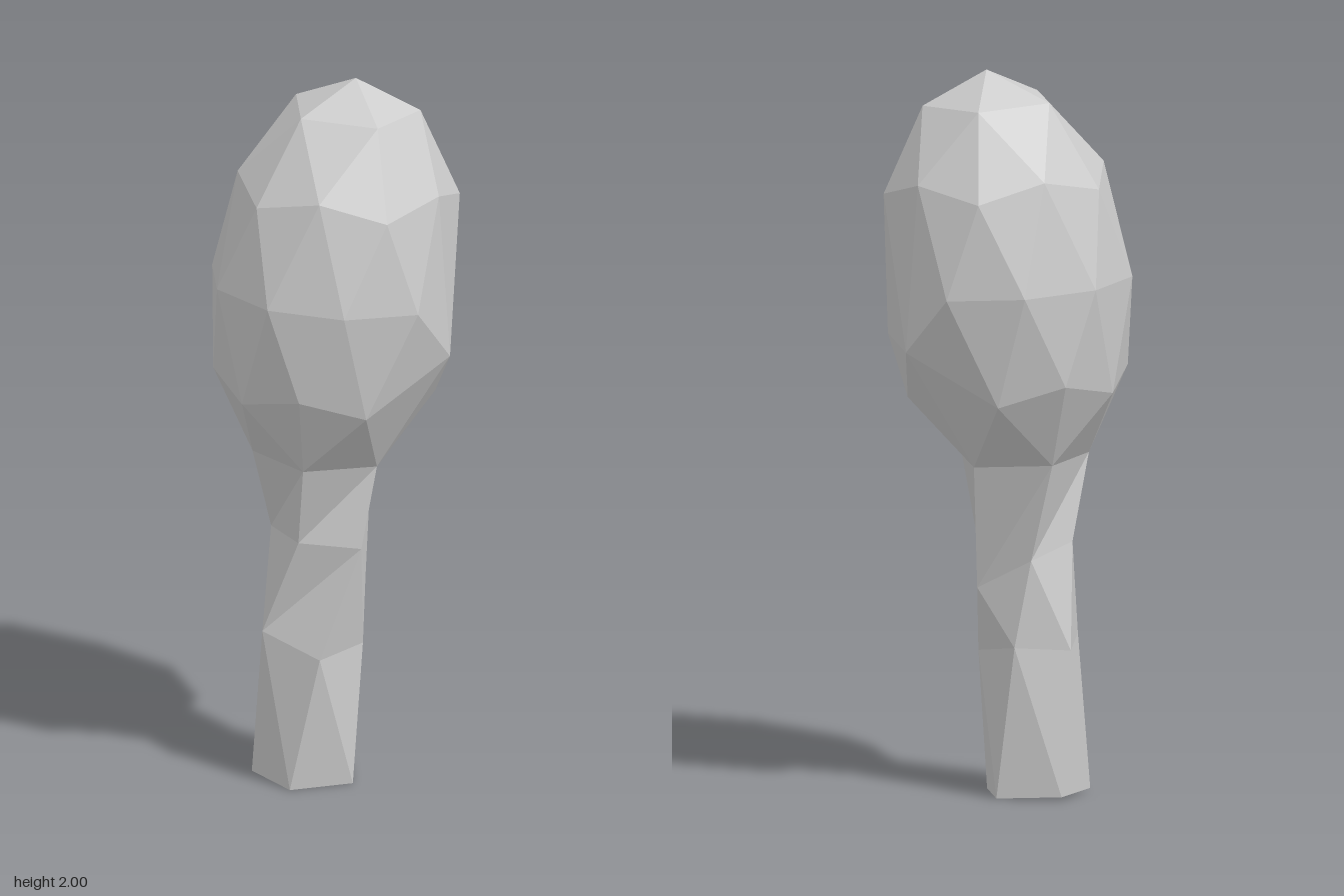
import * as THREE from 'three';
import { ConvexGeometry } from 'three/addons/geometries/ConvexGeometry.js';

const grey = new THREE.MeshStandardMaterial({ color: 0xcccccc, flatShading: true });
grey.name = 'plain grey';

// Unit-sphere rings of a twice-divided icosahedron: [height, radius, angles in degrees]
const UPPER = [0, 72, 144, 216, 288];
const LOWER = [36, 108, 180, 252, 324];
const RINGS = [
  [1, 0, [0]],
  [0.851, 0.526, UPPER],
  [0.526, 0.851, LOWER],
  [0.447, 0.894, UPPER],
  [0, 1, [54, 90, 126, 162, 198, 234, 270, 306]],
  [-0.447, 0.894, [108, 180, 252]],
  [-0.526, 0.851, UPPER],
  [-0.851, 0.526, LOWER],
];

// Stretch the sphere and lean it slightly toward +x
function crownPoint(height, radius, degrees) {
  const a = THREE.MathUtils.degToRad(degrees);
  const x = 0.35 * radius * Math.cos(a);
  const z = 0.35 * radius * Math.sin(a);
  return new THREE.Vector3(x + 0.053 * height, 1.42 + 0.58 * height - 0.05 * x, z);
}

function crownGeometry() {
  const points = RINGS.flatMap(([h, r, angles]) => angles.map((a) => crownPoint(h, r, a)));
  // Merged corners on the +x side
  for (const s of [-1, 1]) points.push(new THREE.Vector3(0.3, 1.25, 0.163 * s));
  return new ConvexGeometry(points);
}

// Five-sided trunk sections, bottom to top, running from the front toward +x
const SECTIONS = [
  [[-0.135, 0, 0.125], [0.04, 0, 0.075], [0.04, 0, -0.095], [-0.13, 0.01, -0.16], [-0.23, 0.01, -0.02]],
  [[-0.055, 0.38, 0.155], [0.07, 0.39, 0.035], [-0.005, 0.42, -0.127], [-0.16, 0.41, -0.13], [-0.205, 0.43, 0.04]],
  [[0.06, 0.69, 0.13], [0.08, 0.57, -0.01], [-0.05, 0.66, -0.132], [-0.175, 0.7, -0.06], [-0.11, 0.7, 0.1]],
];

function trunkGeometry() {
  // The top section meets the crown's lowest ring
  const top = [36, -36, -108, 180, 108].map((a) => crownPoint(-0.851, 0.526, a).toArray());
  const rings = [...SECTIONS, top];
  // true: the quad is split from its lower first to its upper next corner
  const splits = [
    [false, false, false, false, false],
    [false, false, false, false, true],
    [true, true, true, true, true],
  ];
  const positions = [];
  const tri = (...corners) => corners.forEach((c) => positions.push(...c));
  splits.forEach((row, k) => row.forEach((forward, i) => {
    const j = (i + 1) % 5;
    const [a, b] = [rings[k][i], rings[k][j]];
    const [d, c] = [rings[k + 1][i], rings[k + 1][j]];
    if (forward) { tri(a, b, c); tri(a, c, d); } else { tri(a, b, d); tri(b, c, d); }
  }));
  // Foot cap
  const foot = rings[0];
  for (let i = 1; i < 4; i++) tri(foot[0], foot[i + 1], foot[i]);

  const geometry = new THREE.BufferGeometry();
  geometry.setAttribute('position', new THREE.Float32BufferAttribute(positions, 3));
  geometry.computeVertexNormals();
  return geometry;
}

export function createModel() {
  const tree = new THREE.Group();
  tree.name = 'tree';
  const crown = new THREE.Mesh(crownGeometry(), grey);
  crown.name = 'crown';
  const trunk = new THREE.Mesh(trunkGeometry(), grey);
  trunk.name = 'trunk';
  tree.add(crown, trunk);
  return tree;
}
